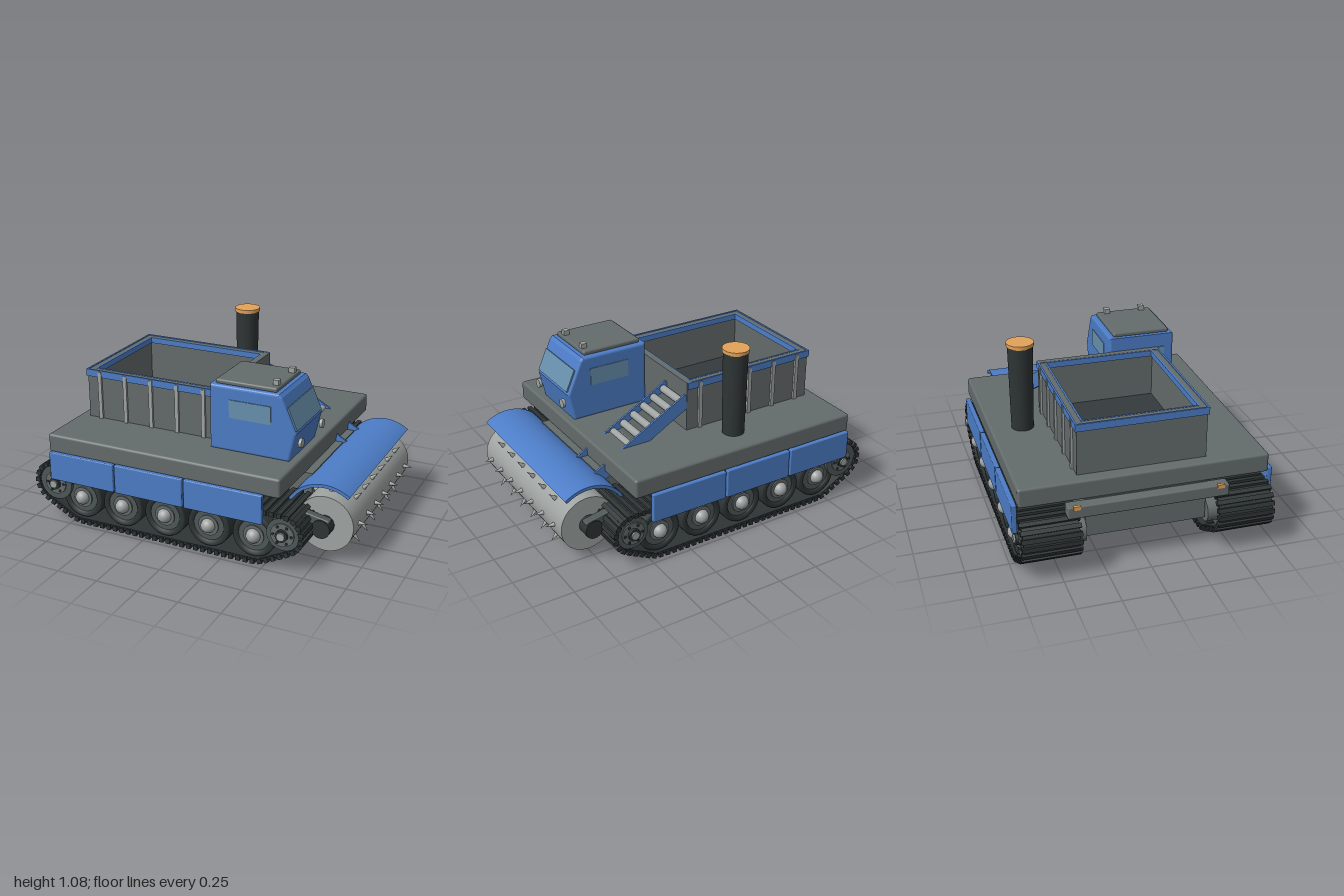
import * as THREE from 'three';
import { mergeGeometries } from 'three/addons/utils/BufferGeometryUtils.js';
import { RoundedBoxGeometry } from 'three/addons/geometries/RoundedBoxGeometry.js';

const mat = (name, color) => Object.assign(new THREE.MeshStandardMaterial({ color }), { name });

export function createModel() {
  const model = new THREE.Group();
  model.name = 'trackedHarvester';
  const grey = mat('hull grey', 0x646b6b), dark = mat('dark rubber', 0x2e3435), light = mat('light steel', 0x9fa4a2);
  const blue = mat('blue paint', 0x4c7cc6), orange = mat('copper', 0xe3a25a), glass = mat('glass', 0x668fac);
  const wheelGrey = mat('wheel grey', 0x4f5757), floorGrey = mat('bin floor', 0x353b3c);

  const add = (name, geo, material, x = 0, y = 0, z = 0, parent = model) => {
    const m = new THREE.Mesh(geo, material);
    m.name = name;
    m.position.set(x, y, z);
    parent.add(m);
    return m;
  };
  // box given by its limits on each axis, optionally with rounded edges
  const box = (name, material, [x0, x1], [y0, y1], [z0, z1], r = 0, parent = model) => {
    const s = [x1 - x0, y1 - y0, z1 - z0];
    const geo = r ? new RoundedBoxGeometry(...s, 2, r) : new THREE.BoxGeometry(...s);
    return add(name, geo, material, (x0 + x1) / 2, (y0 + y1) / 2, (z0 + z1) / 2, parent);
  };
  // cylinder lying along z
  const axle = (name, material, x, y, z0, z1, r, parent = model, seg = 32) =>
    add(name, new THREE.CylinderGeometry(r, r, Math.abs(z1 - z0), seg).rotateX(Math.PI / 2), material, x, y, (z0 + z1) / 2, parent);

  // hull and deck
  box('deck', grey, [-0.89, 0.592], [0.432, 0.548], [-0.717, 0.717], 0.015);
  box('lowerHull', grey, [-0.89, 0.635], [0.2, 0.437], [-0.35, 0.345]);
  box('rearBumper', grey, [-0.952, -0.88], [0.358, 0.43], [-0.46, 0.46], 0.008);
  for (const s of [-1, 1])
    box('rearLight', orange, [-0.956, -0.938], [0.412, 0.434], [s * 0.41 - 0.02, s * 0.41 + 0.02]);

  // track outline: hull of the circles the belt wraps round
  const wheelX = [-0.685, -0.41, -0.13, 0.15, 0.43];
  const wraps = [[-0.86, 0.235, 0.125], [-0.685, 0.165, 0.147], [0.43, 0.165, 0.147], [0.61, 0.22, 0.115]];
  const outline = (inset) => {
    const pts = [];
    for (let i = 0; i < 120; i++) {
      const a = (i / 120) * Math.PI * 2, c = Math.cos(a), s = Math.sin(a);
      const w = wraps.reduce((p, q) => (q[0] * c + q[1] * s + q[2] > p[0] * c + p[1] * s + p[2] ? q : p));
      pts.push(new THREE.Vector2(w[0] + (w[2] - inset) * c, w[1] + (w[2] - inset) * s));
    }
    pts.push(pts[0].clone());
    return pts;
  };
  const beltShape = new THREE.Shape(outline(0));
  const treadPoints = beltShape.getSpacedPoints(84);
  beltShape.holes.push(new THREE.Path(outline(0.018)));
  const beltGeo = new THREE.ExtrudeGeometry(beltShape, { depth: 0.315, bevelEnabled: false }).translate(0, 0, -0.1575);
  const treadGeo = mergeGeometries(treadPoints.slice(0, -1).map((p, i) => {
    const q = treadPoints[i + 1];
    const a = Math.atan2(q.y - p.y, q.x - p.x);
    return new THREE.BoxGeometry(0.026, 0.03, 0.336).rotateZ(a).translate((p.x + q.x) / 2, (p.y + q.y) / 2, 0);
  }));

  // running gear, with the same layout on each side
  const tyreGeo = new THREE.LatheGeometry([[0.09, -0.12], [0.1, -0.135], [0.125, -0.135], [0.13, -0.125], [0.13, 0.125], [0.125, 0.135], [0.1, 0.135], [0.09, 0.12]]
    .map(([x, y]) => new THREE.Vector2(x, y)), 36).rotateX(Math.PI / 2);
  const hubGeo = new THREE.SphereGeometry(0.043, 20, 12);
  for (const s of [-1, 1]) {
    const side = new THREE.Group();
    side.name = s > 0 ? 'leftTrack' : 'rightTrack';
    model.add(side);
    add('belt', beltGeo, dark, 0, 0, s * 0.556, side);
    add('treads', treadGeo, dark, 0, 0, s * 0.556, side);
    for (const x of wheelX) {
      add('tyre', tyreGeo, dark, x, 0.168, s * 0.565, side);
      axle('wheelDisc', wheelGrey, x, 0.168, s * 0.44, s * 0.69, 0.098, side);
      axle('wheelBoss', grey, x, 0.168, s * 0.432, s * 0.698, 0.062, side);
      for (const z of [0.432, 0.698]) add('wheelHub', hubGeo, light, x, 0.168, s * z, side);
    }
    for (const [x, y, r] of [[-0.86, 0.235, 0.107], [0.61, 0.22, 0.097]]) {
      axle('sprocket', wheelGrey, x, y, s * 0.42, s * 0.71, r, side);
      axle('sprocketBoss', grey, x, y, s * 0.35, s * 0.718, 0.07, side);
      axle('sprocketCollar', dark, x, y, s * 0.71, s * 0.735, 0.036, side, 24);
      axle('sprocketHub', light, x, y, s * 0.73, s * 0.745, 0.024, side, 20);
      for (let i = 0; i < 6; i++) {
        const a = (i * Math.PI) / 3;
        axle('sprocketBolt', dark, x + 0.055 * Math.cos(a), y + 0.055 * Math.sin(a), s * 0.71, s * 0.724, 0.008, side, 8);
      }
    }
    // skirt panels
    for (const xr of [[-0.87, -0.437], [-0.428, 0.01], [0.02, 0.5]])
      box('skirtPanel', blue, xr, [0.272, 0.447], s > 0 ? [0.72, 0.75] : [-0.75, -0.72], 0.006, side);
  }

  // open bin with blue rails
  const bin = new THREE.Group();
  bin.name = 'bin';
  model.add(bin);
  box('binFloor', floorGrey, [-0.8, 0.03], [0.54, 0.56], [-0.36, 0.35], 0, bin);
  box('binRear', grey, [-0.82, -0.785], [0.545, 0.849], [-0.376, 0.366], 0, bin);
  box('binFront', grey, [0.014, 0.05], [0.545, 0.852], [-0.376, 0.366], 0, bin);
  for (const [a, b] of [[-0.376, -0.34], [0.33, 0.366]]) box('binSide', grey, [-0.82, 0.048], [0.545, 0.849], [a, b], 0, bin);
  for (const [a, b] of [[-0.384, -0.373], [0.363, 0.374]]) box('outerRail', blue, [-0.827, 0.045], [0.81, 0.853], [a, b], 0, bin);
  for (const [a, b] of [[-0.341, -0.33], [0.32, 0.331]]) box('innerRail', blue, [-0.786, 0.016], [0.815, 0.851], [a, b], 0, bin);
  box('rearRail', blue, [-0.827, -0.816], [0.81, 0.853], [-0.384, 0.374], 0, bin);
  box('rearInnerRail', blue, [-0.786, -0.776], [0.815, 0.851], [-0.34, 0.33], 0, bin);
  box('frontInnerRail', blue, [0.006, 0.016], [0.815, 0.851], [-0.34, 0.33], 0, bin);
  for (let i = 0; i < 5; i++) {
    const x = -0.735 + i * 0.174;
    box('rib', light, [x - 0.012, x + 0.012], [0.548, 0.845], [0.36, 0.379], 0, bin);
    box('rib', light, [x - 0.012, x + 0.012], [0.548, 0.845], [-0.389, -0.37], 0, bin);
  }

  // cab
  const cab = new THREE.Group();
  cab.name = 'cab';
  model.add(cab);
  const b = 0.014;
  const profile = new THREE.Shape([[0.056, 0.545], [0.543, 0.545], [0.582, 0.715], [0.495, 0.915], [0.477, 0.933], [0.056, 0.933]]
    .map(([x, y]) => new THREE.Vector2(x, y)));
  add('cabBody', new THREE.ExtrudeGeometry(profile, { depth: 0.404 - 2 * b, bevelThickness: b, bevelSize: b, bevelOffset: -b, bevelSegments: 3 }), blue, 0, 0, 0.075 + b, cab);
  box('roofPlate', grey, [0.08, 0.455], [0.93, 0.958], [0.105, 0.452], 0.01, cab);
  for (const z of [0.165, 0.39]) box('roofLamp', light, [0.41, 0.445], [0.955, 0.987], [z - 0.017, z + 0.017], 0, cab);
  for (const z of [0.12, 0.435])
    add('headlight', new THREE.CylinderGeometry(0.027, 0.027, 0.018, 20).rotateZ(Math.PI / 2), light, 0.598, 0.655, z, cab);
  for (const z of [0.075, 0.48]) box('sideWindow', glass, [0.178, 0.432], [0.75, 0.857], [z - 0.004, z + 0.004], 0, cab);
  box('rearWindow', glass, [0.05, 0.058], [0.65, 0.85], [0.14, 0.42], 0, cab);
  add('windscreen', new THREE.BoxGeometry(0.009, 0.14, 0.368), glass, 0.552, 0.795, 0.279, cab).rotation.z = 0.41;

  // exhaust stack
  add('stack', new THREE.CylinderGeometry(0.073, 0.065, 0.52, 36), dark, -0.175, 0.803, -0.527);
  add('stackCap', new THREE.CylinderGeometry(0.079, 0.079, 0.022, 36), orange, -0.175, 1.07, -0.527);

  // sloping conveyor from the bin down to the drum
  const conveyor = new THREE.Group();
  conveyor.name = 'conveyor';
  conveyor.position.set(0.38, 0.57, -0.262);
  conveyor.rotation.z = -0.51;
  model.add(conveyor);
  box('conveyorBed', wheelGrey, [-0.38, 0.36], [-0.035, -0.02], [-0.1, 0.1], 0, conveyor);
  for (const z of [-0.106, 0.106]) box('conveyorRail', blue, [-0.385, 0.37], [-0.06, 0.027], [z - 0.006, z + 0.006], 0, conveyor);
  for (let i = 0; i < 6; i++) axle('conveyorRoller', light, -0.345 + i * 0.078, -0.004, -0.1, 0.1, 0.023, conveyor, 16);

  // spiked drum
  const drum = new THREE.Group();
  drum.name = 'drum';
  drum.position.set(0.78, 0.23, 0);
  model.add(drum);
  axle('drumBody', light, 0, 0, -0.508, 0.508, 0.166, drum, 48);
  const spikeGeo = new THREE.ConeGeometry(0.015, 0.06, 12).translate(0, 0.19, 0);
  for (let k = 0; k < 8; k++) {
    const n = k % 2 ? 6 : 7;
    for (let i = 0; i < n; i++)
      add('spike', spikeGeo, light, 0, 0, (i - (n - 1) / 2) * 0.139, drum).rotation.z = (k * Math.PI) / 4;
  }
  for (const s of [-1, 1]) {
    axle('drumHub', dark, 0, 0, s * 0.5, s * 0.585, 0.055, drum, 24);
    add('drumArm', new RoundedBoxGeometry(0.25, 0.11, 0.05, 2, 0.008), wheelGrey, -0.085, 0.025, s * 0.552, drum).rotation.z = -0.2;
  }

  // curved guard over the drum
  const guard = new THREE.Shape();
  guard.absarc(0, 0, 0.247, 0.94, 2.62, false);
  guard.absarc(0, 0, 0.228, 2.62, 0.94, true);
  add('drumGuard', new THREE.ExtrudeGeometry(guard, { depth: 1.06, bevelEnabled: false, curveSegments: 24 }), blue, 0.78, 0.23, -0.53);
  return model;
}
